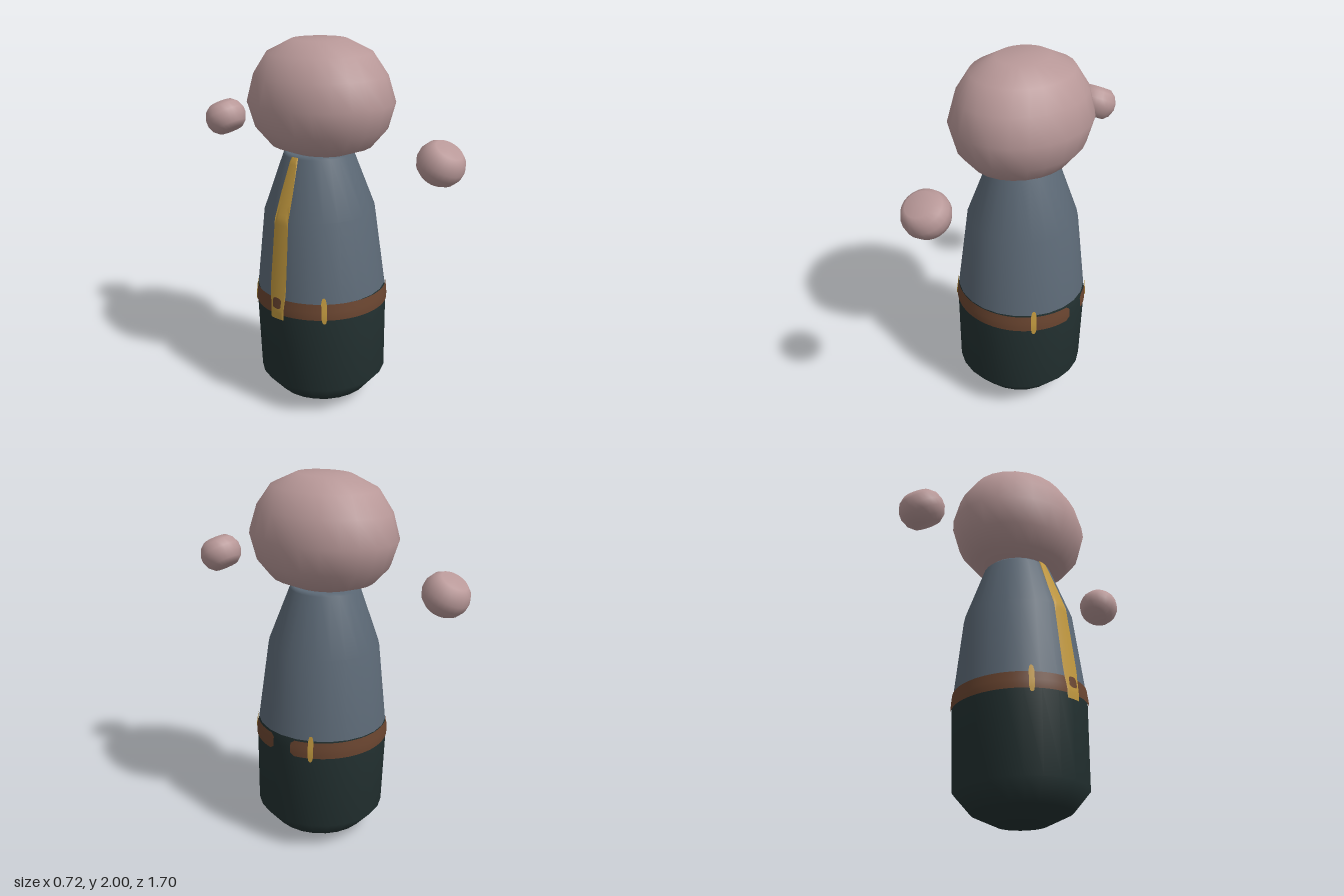
import * as THREE from 'three';

const flat = (name, color) => {
  const m = new THREE.MeshStandardMaterial({ color });
  m.name = name;
  return m;
};

// Body outline as [radius, height]; the trousers end under the belt
const SEAM = 0.68;
const OUTLINE = [[0, 0.005], [0.13, 0.005], [0.26, 0.065], [0.35, 0.17], [0.358, 0.62], [0.298, 1.11], [0.187, 1.41], [0.17, 1.425], [0, 1.425]];

// Body radius at a given height
function radiusAt(y) {
  for (let i = 1; i < OUTLINE.length; i++) {
    const [r0, y0] = OUTLINE[i - 1], [r1, y1] = OUTLINE[i];
    if (y <= y1 && y1 > y0) return r0 + (r1 - r0) * (y - y0) / (y1 - y0);
  }
  return OUTLINE[6][0];
}

const lathe = (pts) => new THREE.LatheGeometry(pts.map(([r, y]) => new THREE.Vector2(r, y)), 24);

// Thin patch wrapped on the body: angles in degrees from the front towards +x,
// with ends narrowed over `round` degrees
function patch(a0, a1, y0, y1, round, lift, nx, ny) {
  const g = new THREE.PlaneGeometry(1, 1, nx, ny);
  const p = g.attributes.position;
  for (let i = 0; i < p.count; i++) {
    const deg = a0 + (a1 - a0) * (p.getX(i) + 0.5);
    const phi = THREE.MathUtils.degToRad(deg);
    const edge = Math.min(1, Math.min(deg - a0, a1 - deg) / round);
    const height = (y1 - y0) * (0.6 + 0.4 * Math.sqrt(Math.max(0, 1 - (1 - edge) ** 2)));
    const y = (y0 + y1) / 2 + p.getY(i) * height - 0.008 * Math.sin(phi);
    const r = radiusAt(y) + lift;
    p.setXYZ(i, r * Math.sin(phi), y, r * Math.cos(phi));
  }
  g.computeVertexNormals();
  return g;
}

export function createModel() {
  const skin = flat('skin', 0xb89898);
  const shirtBlue = flat('shirtBlue', 0x5c6976);
  const trouserGreen = flat('trouserGreen', 0x233131);
  const leather = flat('leather', 0x6a4530);
  const gold = flat('gold', 0xc2993f);

  const model = new THREE.Group();
  const figure = new THREE.Group();
  figure.name = 'figure';
  // Slight backward lean
  figure.position.z = 0.018;
  figure.rotation.x = -0.028;
  model.add(figure);

  const add = (parent, name, geometry, material) => {
    const mesh = new THREE.Mesh(geometry, material);
    mesh.name = name;
    parent.add(mesh);
    return mesh;
  };

  // Body
  const seam = [radiusAt(SEAM), SEAM];
  add(figure, 'trousers', lathe([...OUTLINE.slice(0, 5), seam]), trouserGreen);
  add(figure, 'shirt', lathe([seam, ...OUTLINE.slice(5)]), shirtBlue);

  // Belt, open at the left side
  add(figure, 'belt', patch(100, 442, 0.592, 0.68, 4, 0.004, 96, 4), leather);

  // Belt loops
  [46, 118, 232, 313].forEach((a) =>
    add(figure, 'beltLoop', patch(a - 2.3, a + 2.3, 0.572, 0.715, 2, 0.007, 6, 6), gold));

  // Shoulder strap with its buckle hole
  add(figure, 'strap', patch(261, 279, 0.565, 1.41, 0.01, 0.006, 8, 48), gold);
  add(figure, 'buckleHole', patch(265.5, 274.5, 0.625, 0.685, 4, 0.009, 8, 4), leather);

  // Head
  const head = add(figure, 'head', lathe([
    [0, -0.29], [0.38, -0.29], [0.7, -0.245], [0.9, -0.155], [1, -0.02],
    [0.9, 0.115], [0.71, 0.225], [0.37, 0.29], [0, 0.29]]), skin);
  head.scale.set(0.347, 1, 0.41);
  head.position.set(0, 1.708, 0.02);

  // Floating hands, mirrored front and back
  const handGeometry = lathe([
    [0, -0.084], [0.07, -0.084], [0.1, -0.058], [0.117, -0.018],
    [0.117, 0.018], [0.1, 0.058], [0.07, 0.084], [0, 0.084]]);
  for (const s of [1, -1]) {
    const hand = add(model, s > 0 ? 'frontHand' : 'backHand', handGeometry, skin);
    hand.position.set(0, 1.49, s * 0.735);
    hand.rotation.x = s * Math.PI / 6;
  }
  return model;
}
